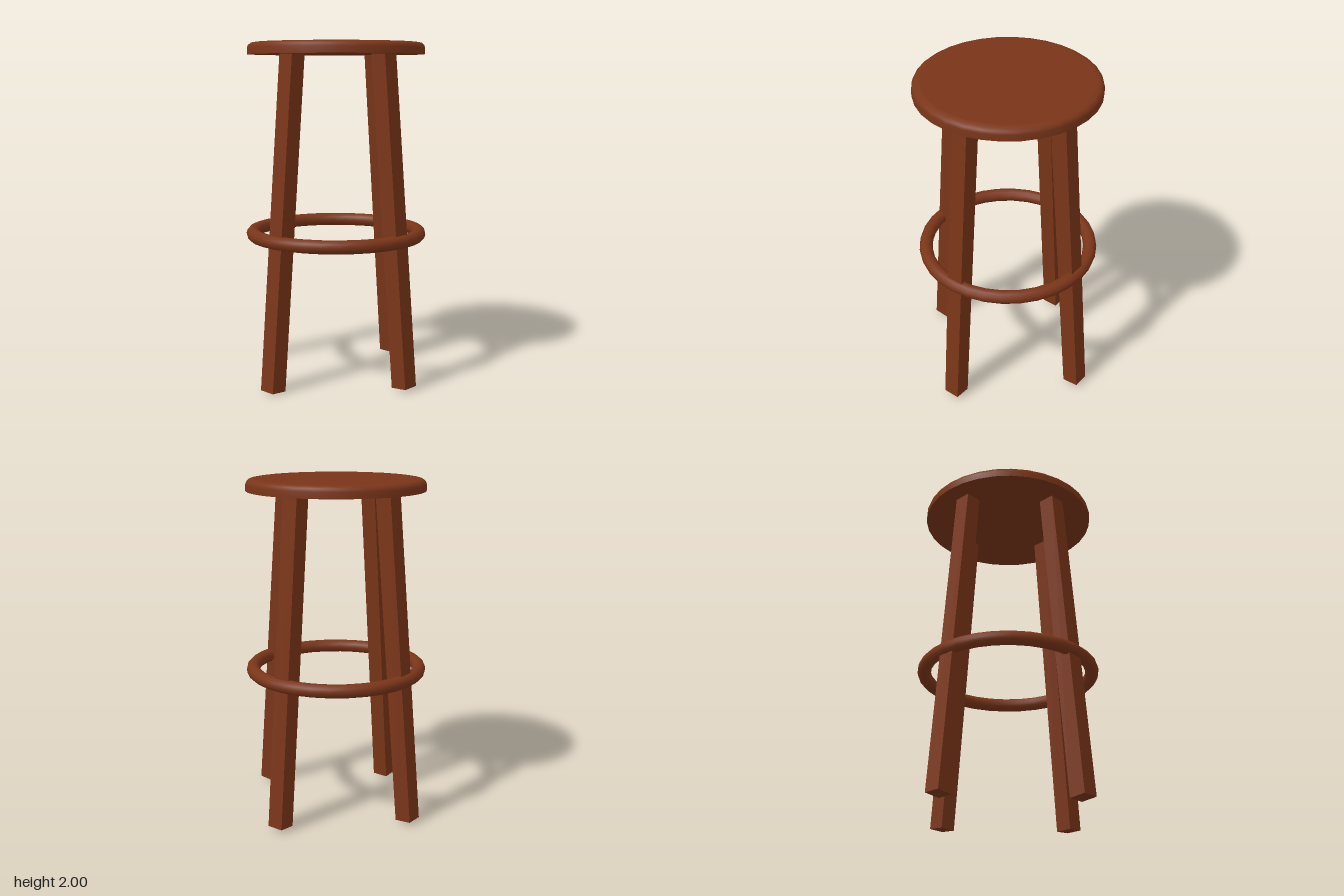
import * as THREE from 'three';

export function createModel() {
  const stool = new THREE.Group();
  stool.name = 'barStool';
  const wood = new THREE.MeshStandardMaterial({ color: 0x7a3519 });

  const add = (name, geometry, parent = stool) => {
    const mesh = new THREE.Mesh(geometry, wood);
    mesh.name = name;
    parent.add(mesh);
    return mesh;
  };
  const lathe = (points) =>
    new THREE.LatheGeometry(points.map(([r, y]) => new THREE.Vector2(r, y)), 32);

  // Seat: flat underside, straight edge with a rounded upper rim, flat top
  const seat = new THREE.Group();
  seat.name = 'seat';
  stool.add(seat);
  add('seatUnderside', lathe([[0, 1.93], [0.523, 1.93]]), seat);
  add('seatEdge', lathe([
    [0.523, 1.93], [0.523, 1.967], [0.517, 1.984], [0.502, 1.996], [0.478, 2],
  ]), seat);
  add('seatTop', lathe([[0.478, 2], [0, 2]]), seat);

  // Four square legs splayed outwards; the front one is slightly longer
  const splay = THREE.MathUtils.degToRad(5.1);
  ['frontLeg', 'leftLeg', 'backLeg', 'rightLeg'].forEach((name, i) => {
    const length = i === 0 ? 1.953 : 1.94;
    const pivot = new THREE.Group();
    pivot.name = name;
    pivot.rotation.y = (i * Math.PI) / 2;
    stool.add(pivot);
    const leg = add(name + 'Post',
      new THREE.BoxGeometry(0.1, length, 0.1).translate(0, -length / 2, 0), pivot);
    leg.position.set(0, 1.95, 0.363);
    leg.rotation.x = -splay;
  });

  // Round foot rest passing through the legs
  const ring = add('footRing', new THREE.TorusGeometry(0.5, 0.04, 12, 32));
  ring.rotation.x = Math.PI / 2;
  ring.position.y = 0.868;

  return stool;
}
